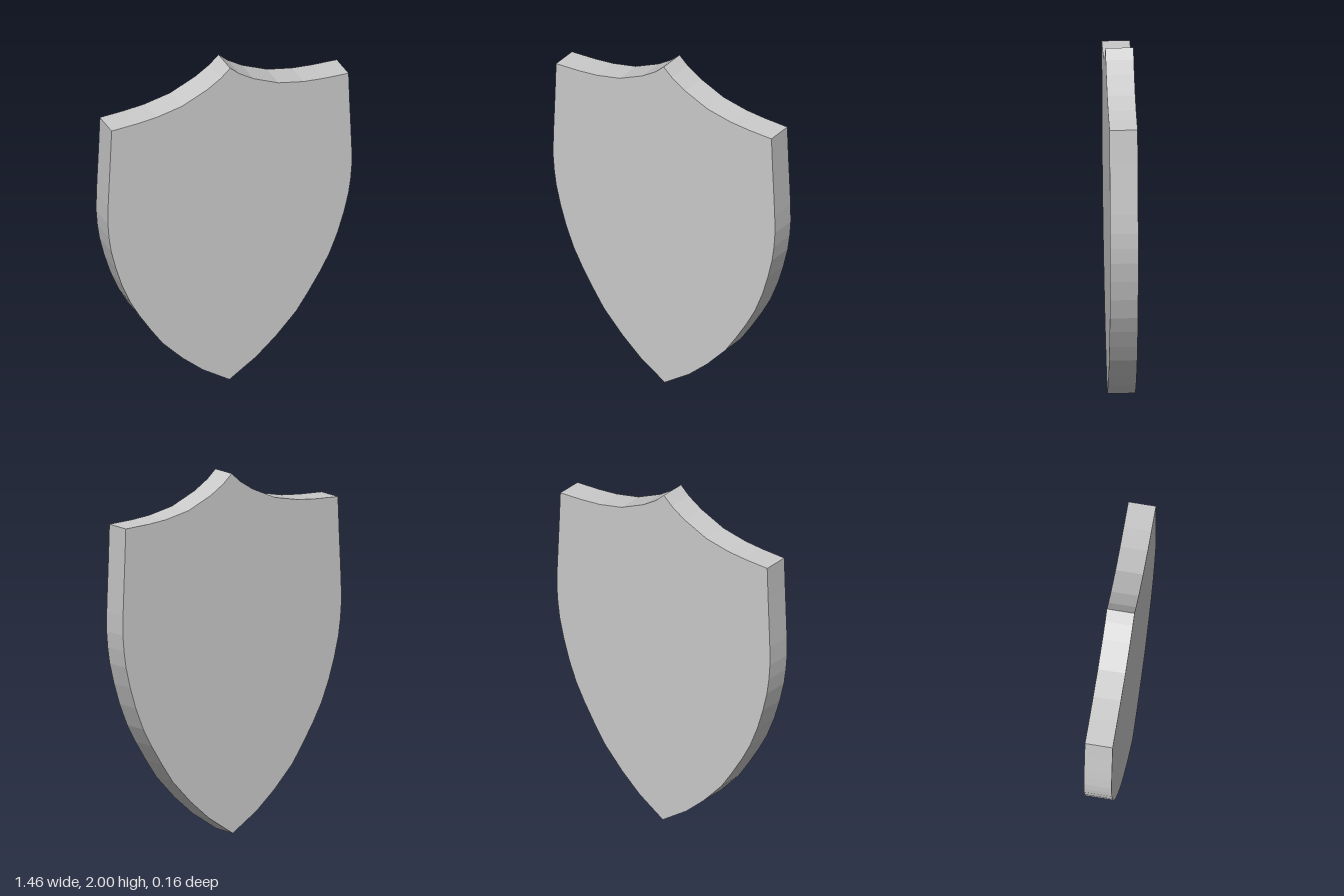
import * as THREE from 'three';

// Right half of the outline, from the bottom tip up to the top peak
const HALF = [
  [0, 0], [0.16, 0.105], [0.28, 0.21], [0.4, 0.337], [0.47, 0.44], [0.54, 0.552], [0.595, 0.652],
  [0.645, 0.775], [0.682, 0.895], [0.71, 1.01], [0.723, 1.1], [0.73, 1.19], [0.729, 1.3],
  [0.724, 1.42], [0.716, 1.6], [0.709, 1.782],
  [0.56, 1.788], [0.44, 1.799], [0.29, 1.83], [0.14, 1.896], [0.055, 1.95], [0, 2],
];
const DEPTH = 0.153;

export function createModel() {
  const group = new THREE.Group();

  // Mirror the half outline to close the shield
  const left = HALF.slice(1, -1).reverse().map(([x, y]) => [-x, y]);
  const outline = [...HALF, ...left].map(([x, y]) => new THREE.Vector2(x, y - 1));

  // Flat slab with a faceted rim
  const geometry = new THREE.ExtrudeGeometry(new THREE.Shape(outline), { depth: DEPTH, bevelEnabled: false });
  geometry.translate(0, 0, -DEPTH / 2);

  const shield = new THREE.Mesh(geometry, new THREE.MeshStandardMaterial({ color: 0xcccccc, flatShading: true }));
  shield.name = 'shield';
  shield.position.y = 1;
  shield.rotation.x = 0.005; // very slight forward lean
  group.add(shield);
  return group;
}
